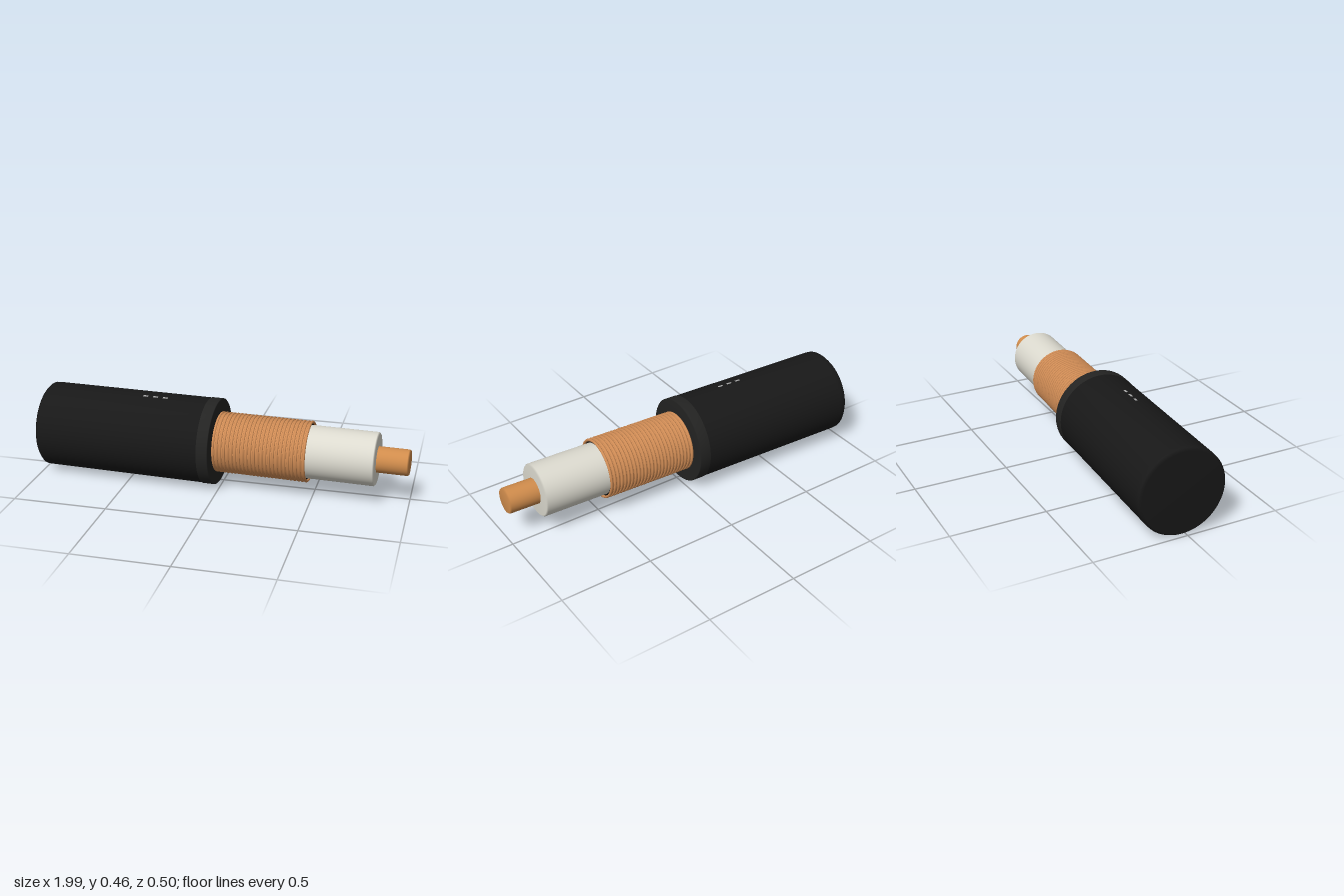
import * as THREE from 'three';

const AXIS_Y = 0.235;

function material(color, side = THREE.FrontSide) {
  return new THREE.MeshStandardMaterial({ color, side });
}

// Turned part lying along +x; profile is a list of [radius, position along the cable]
function turned(name, profile, mat) {
  const points = profile.map(([r, s]) => new THREE.Vector2(r, s));
  const geometry = new THREE.LatheGeometry(points, 64);
  geometry.rotateZ(-Math.PI / 2);
  const mesh = new THREE.Mesh(geometry, mat);
  mesh.name = name;
  return mesh;
}

export function createModel() {
  const model = new THREE.Group();
  model.name = 'cable';

  const black = material(0x181818);
  const collarBlack = material(0x232322);
  const copper = material(0xd08c55, THREE.DoubleSide);
  const coreCopper = material(0xd08c4c);
  const white = material(0xdcdacf);
  const grey = material(0xaaaaaa);

  // The whole cable is turned slightly so its exposed end comes forward
  const cable = new THREE.Group();
  cable.name = 'cableBody';
  cable.position.set(0, AXIS_Y, 0.018);
  cable.rotation.y = -0.0437;
  model.add(cable);

  // Outer jacket with an eased back edge
  cable.add(turned('jacket', [
    [0, -0.99], [0.215, -0.99], [0.2275, -0.978], [0.2285, -0.95],
    [0.2285, -0.03], [0.15, -0.03],
  ], black));

  // Collar at the cut end of the jacket
  cable.add(turned('jacketCollar', [
    [0.225, -0.083], [0.2305, -0.08], [0.2305, -0.022], [0.227, -0.018], [0.15, -0.018],
  ], collarBlack));

  // Copper shield: thin sleeve wrapped in closely spaced wires
  const shield = new THREE.Group();
  shield.name = 'shield';
  shield.add(turned('shieldSleeve', [[0.156, -0.03], [0.156, 0.478], [0.152, 0.478]], copper));
  const wire = new THREE.TorusGeometry(0.1545, 0.0075, 10, 64);
  wire.rotateY(Math.PI / 2);
  const wires = 25;
  for (let i = 0; i < wires; i++) {
    const ring = new THREE.Mesh(wire, copper);
    ring.name = 'shieldWire';
    ring.position.x = -0.012 + (i * 0.483) / (wires - 1);
    shield.add(ring);
  }
  cable.add(shield);

  // Dark layer between shield and insulation
  cable.add(turned('innerLayer', [[0.151, -0.03], [0.151, 0.47], [0.13, 0.47]], black));

  // White insulation with softly shaded end
  cable.add(turned('insulation', [
    [0.14, 0.42], [0.14, 0.82], [0.133, 0.828], [0, 0.828],
  ], white));

  // Copper conductor with a small chamfer
  cable.add(turned('conductor', [
    [0.068, 0.8], [0.068, 0.984], [0.063, 0.993], [0, 0.993],
  ], coreCopper));

  // Three printed dashes along the top of the jacket
  const marks = new THREE.Group();
  marks.name = 'printedMarks';
  marks.rotation.x = 0.145;
  for (const s of [-0.42, -0.365, -0.31]) {
    const mark = new THREE.Mesh(new THREE.BoxGeometry(0.027, 0.004, 0.012), grey);
    mark.name = 'printedMark';
    mark.position.set(s, 0.2275, 0);
    marks.add(mark);
  }
  cable.add(marks);

  return model;
}
